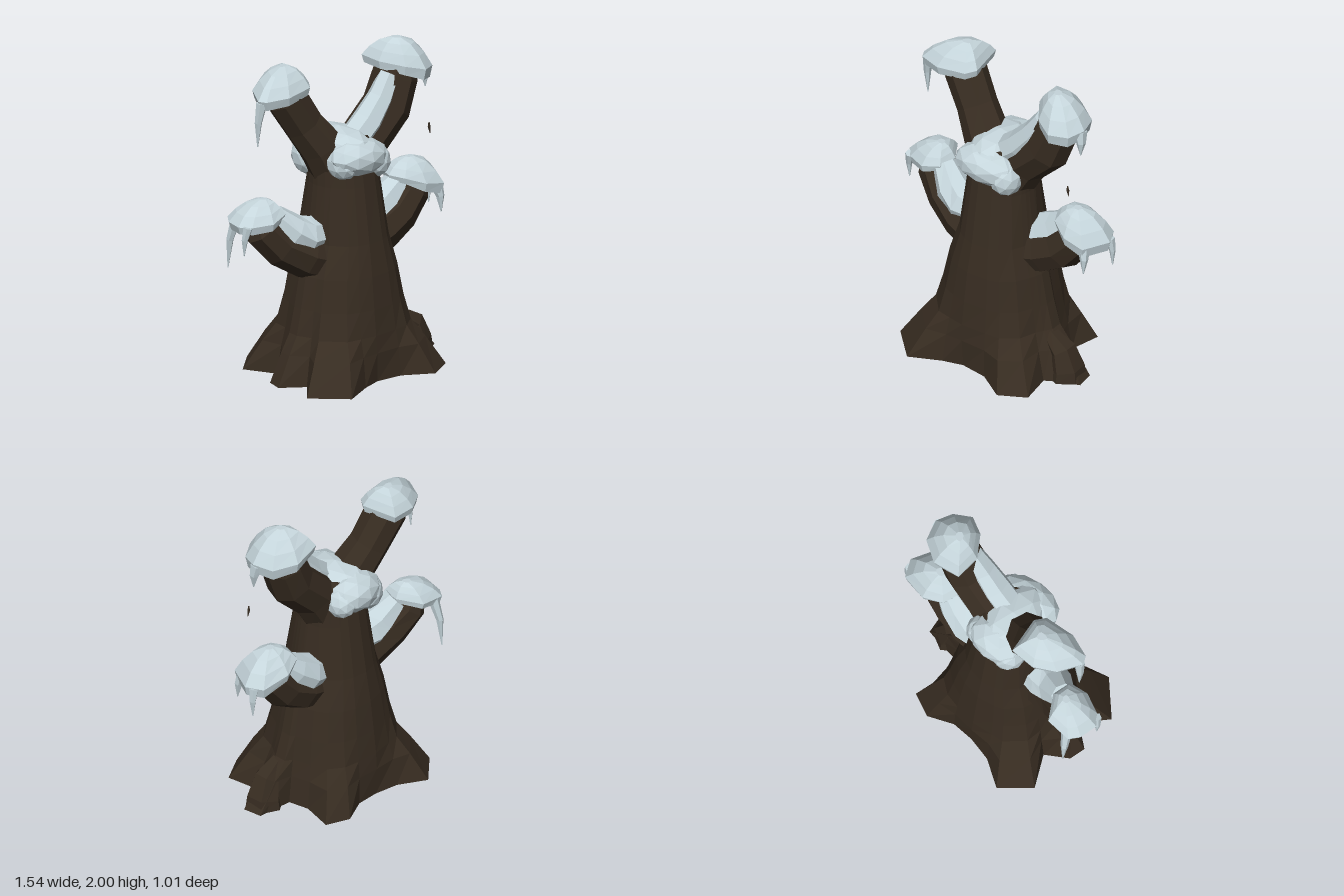
import * as THREE from 'three';

const V = (x, y, z) => new THREE.Vector3(x, y, z);
const bark = new THREE.MeshStandardMaterial({ name: 'bark', color: 0x372c21, flatShading: true });
const snow = new THREE.MeshStandardMaterial({ name: 'snow', color: 0xc5d5db, flatShading: true });

// Skin a list of equal-sized rings and close both ends
function loft(rings) {
  const pos = [];
  const tri = (...pts) => pts.forEach(p => pos.push(p.x, p.y, p.z));
  const middle = r => r.reduce((s, p) => s.add(p), V(0, 0, 0)).divideScalar(r.length);
  const n = rings[0].length, last = rings[rings.length - 1];
  const c0 = middle(rings[0]), c1 = middle(last);
  for (let j = 0; j < n; j++) {
    const k = (j + 1) % n;
    for (let i = 0; i < rings.length - 1; i++) {
      const a = rings[i], b = rings[i + 1];
      tri(a[j], b[j], a[k]);
      tri(a[k], b[j], b[k]);
    }
    tri(c0, rings[0][j], rings[0][k]);
    tri(c1, last[k], last[j]);
  }
  const g = new THREE.BufferGeometry();
  g.setAttribute('position', new THREE.Float32BufferAttribute(pos, 3));
  g.computeVertexNormals();
  return g;
}

// Faceted limb along a path, with one radius per point
function limb(path, radii, sides = 8) {
  const pts = path.map(p => V(...p));
  return loft(pts.map((p, i) => {
    const d = pts[Math.min(i + 1, pts.length - 1)].clone().sub(pts[Math.max(i - 1, 0)]).normalize();
    const u = V(0, 0, 1).addScaledVector(d, -d.z).normalize();
    const v = u.clone().cross(d);
    return Array.from({ length: sides }, (_, j) => {
      const a = (j / sides) * Math.PI * 2;
      return p.clone().addScaledVector(u, Math.cos(a) * radii[i]).addScaledVector(v, Math.sin(a) * radii[i]);
    });
  }));
}

// Snow cap rising from a rim outline to a peak; each layer is [inset, lift]
const capLayers = [[0.35, 0.2], [0.07, 0], [0, 0.28], [0.22, 0.6], [0.5, 0.86], [0.85, 1]];
function cap(rim, peak) {
  return loft(capLayers.map(([inset, lift]) => rim.map(([x, y, z]) =>
    V(x + (peak[0] - x) * inset, y + (peak[1] - y) * lift, z + (peak[2] - z) * inset))));
}

// Coarse faceted lump of snow
function lump(center, half, tilt = 0) {
  const g = new THREE.IcosahedronGeometry(1, 1);
  g.scale(...half).rotateZ(tilt).translate(...center);
  return g;
}

export function createModel() {
  const model = new THREE.Group();
  const add = (name, geometry, material) => {
    const mesh = new THREE.Mesh(geometry, material);
    mesh.name = name;
    model.add(mesh);
  };

  // Trunk: root outline on the ground blending into an oval stem
  const foot = [
    [0.40, -0.02], [0.62, 0.02], [0.63, 0.14], [0.50, 0.18], [0.42, 0.22], [0.44, 0.42], [0.27, 0.50],
    [0.10, 0.38], [-0.07, 0.35], [-0.20, 0.38], [-0.40, 0.46], [-0.58, 0.26], [-0.44, 0.12], [-0.57, 0.01],
    [-0.54, -0.09], [-0.40, -0.17], [-0.49, -0.37], [-0.31, -0.51], [-0.15, -0.40], [0, -0.36], [0.14, -0.35],
    [0.30, -0.41], [0.44, -0.34], [0.38, -0.15],
  ];
  // height, blend, oval radius x, oval radius z
  const levels = [
    [0, 0, 0.37, 0.38], [0.18, 0.5, 0.37, 0.37], [0.29, 0.82, 0.365, 0.355], [0.45, 0.92, 0.345, 0.335],
    [0.65, 0.95, 0.31, 0.31], [0.85, 0.97, 0.25, 0.275], [1.2, 1, 0.22, 0.225], [1.4, 1, 0.215, 0.195],
    [1.48, 1, 0.14, 0.16],
  ];
  add('trunk', loft(levels.map(([y, t, rx, rz]) => foot.map(([x, z]) => {
    const a = Math.atan2(z, x);
    return V(x + (Math.cos(a) * rx - 0.01 - x) * t, y, z + (Math.sin(a) * rz - z) * t);
  }))), bark);
  add('sideRoot', limb([[0.5, 0, 0.09], [0.5, 0.06, 0.09], [0.47, 0.17, 0.09], [0.37, 0.25, 0.08]],
    [0.12, 0.11, 0.085, 0.05], 6), bark);

  // Branches
  add('upperLeftBranch', limb([[0.04, 1.2, 0], [0.16, 1.4, 0.01], [0.33, 1.57, 0.03], [0.4, 1.74, 0.03], [0.42, 1.84, 0.03]],
    [0.15, 0.15, 0.15, 0.14, 0.12]), bark);
  add('upperRightBranch', limb([[-0.05, 1.2, 0], [-0.16, 1.43, -0.04], [-0.26, 1.58, -0.09], [-0.37, 1.77, -0.13], [-0.41, 1.85, -0.14]],
    [0.15, 0.14, 0.125, 0.13, 0.1]), bark);
  add('lowerLeftBranch', limb([[0.1, 0.74, 0], [0.29, 0.795, 0], [0.43, 0.87, 0.01], [0.53, 0.98, 0.02], [0.56, 1.08, 0.02]],
    [0.15, 0.15, 0.14, 0.125, 0.1]), bark);
  add('lowerRightBranch', limb([[-0.1, 0.7, 0], [-0.31, 0.78, -0.03], [-0.46, 0.86, -0.08], [-0.57, 0.98, -0.13], [-0.59, 1.06, -0.15]],
    [0.15, 0.145, 0.13, 0.12, 0.08]), bark);

  // Snow caps on the branch ends
  add('upperLeftCap', cap([
    [0.62, 1.75, 0.08], [0.57, 1.73, 0.18], [0.46, 1.75, 0.235], [0.35, 1.79, 0.17],
    [0.265, 1.82, 0.03], [0.28, 1.82, -0.13], [0.46, 1.77, -0.14], [0.59, 1.74, -0.05],
  ], [0.4, 1.995, 0.04]), snow);
  add('upperRightCap', cap([
    [-0.24, 1.8, -0.06], [-0.29, 1.79, 0], [-0.48, 1.77, 0.015], [-0.62, 1.76, -0.04],
    [-0.64, 1.76, -0.09], [-0.55, 1.78, -0.23], [-0.42, 1.8, -0.3], [-0.26, 1.81, -0.295],
  ], [-0.36, 1.965, -0.15]), snow);
  add('lowerLeftCap', cap([
    [0.765, 0.96, 0.02], [0.67, 0.96, 0.18], [0.53, 1.0, 0.17], [0.42, 1.06, 0.1],
    [0.38, 1.07, 0], [0.42, 1.07, -0.1], [0.55, 1.02, -0.14], [0.72, 0.96, -0.09],
  ], [0.53, 1.195, 0.02]), snow);
  add('lowerRightCap', cap([
    [-0.45, 1.05, -0.14], [-0.48, 1.04, -0.02], [-0.6, 1.0, 0], [-0.72, 0.99, -0.06],
    [-0.77, 0.99, -0.13], [-0.74, 0.99, -0.24], [-0.69, 1.0, -0.3], [-0.53, 1.03, -0.29],
  ], [-0.54, 1.165, -0.14]), snow);

  // Snow packed over the fork, sagging at the front and back
  add('forkSnowTop', lump([-0.04, 1.42, -0.01], [0.165, 0.115, 0.25]), snow);
  add('forkSnowFront', lump([-0.03, 1.37, 0.15], [0.215, 0.115, 0.135], -0.08), snow);
  add('forkSnowFrontSagLeft', lump([0.1, 1.325, 0.14], [0.1, 0.12, 0.12], 0.3), snow);
  add('forkSnowFrontSagRight', lump([-0.14, 1.35, 0.13], [0.1, 0.1, 0.11], -0.3), snow);
  add('forkSnowBack', lump([-0.04, 1.38, -0.16], [0.19, 0.125, 0.135], 0.08), snow);
  add('forkSnowBackSagRight', lump([-0.13, 1.34, -0.16], [0.11, 0.13, 0.12], -0.2), snow);
  add('forkSnowBackSagLeft', lump([0.08, 1.36, -0.16], [0.09, 0.1, 0.1], 0.2), snow);

  // Snow drifts lying along the branches
  add('upperLeftDrift', limb([[0.03, 1.42, 0.04], [0.15, 1.525, 0.05], [0.25, 1.65, 0.06], [0.33, 1.78, 0.06]],
    [0.1, 0.1, 0.085, 0.07], 7), snow);
  add('lowerLeftDrift', limb([[0.16, 0.85, -0.02], [0.28, 0.89, -0.03], [0.38, 0.965, -0.02], [0.47, 1.05, 0]],
    [0.12, 0.13, 0.11, 0.08], 8), snow);
  add('lowerRightDrift', limb([[-0.18, 0.88, -0.02], [-0.31, 0.885, -0.03], [-0.4, 0.935, -0.05], [-0.5, 1.045, -0.1]],
    [0.11, 0.13, 0.115, 0.08], 8), snow);

  // Icicles: x, z, top, tip, radius
  const icicles = [
    [-0.61, -0.11, 1.8, 1.52, 0.035], [0.585, 0.09, 1.8, 1.64, 0.045], [-0.65, -0.32, 1.04, 0.71, 0.035],
    [-0.735, -0.1, 1.04, 0.86, 0.03], [0.65, 0.16, 1.02, 0.84, 0.04], [0.735, -0.03, 1.02, 0.83, 0.03],
  ];
  for (const [x, z, top, tip, r] of icicles) {
    const out = Math.sign(x) * 0.015;
    add('icicle', limb([[x + out, tip, z], [x + out, tip + (top - tip) * 0.55, z * 0.95], [x, top, z * 0.82]],
      [0.003, r * 0.65, r], 6), snow);
  }

  // Small loose splinter
  add('splinter', limb([[0.565, 1.37, 0.165], [0.558, 1.41, 0.165], [0.556, 1.44, 0.165]], [0.002, 0.009, 0.004], 5), bark);
  return model;
}
